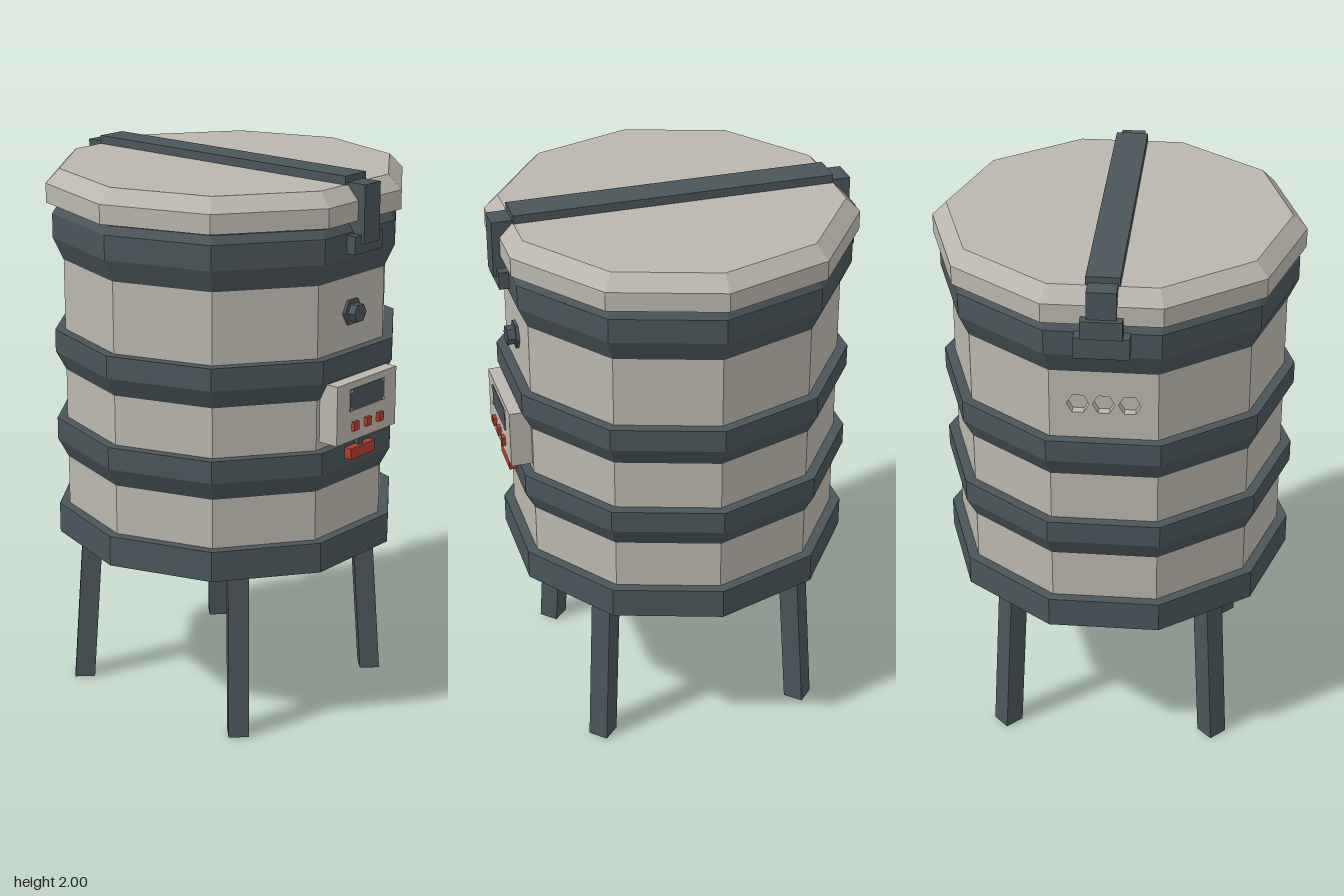
import * as THREE from 'three';

export function createModel() {
  const root = new THREE.Group();
  const mat = (name, color) => {
    const m = new THREE.MeshStandardMaterial({ color, flatShading: true });
    m.name = name;
    return m;
  };
  const shell = mat('warm grey', 0xbab6ac);
  const slate = mat('dark slate', 0x4a555a);
  const red = mat('red', 0xb23c2c);

  const add = (name, geo, material, parent = root) => {
    const mesh = new THREE.Mesh(geo, material);
    mesh.name = name;
    parent.add(mesh);
    return mesh;
  };
  // Box given by its extents on each axis
  const block = (name, material, [x0, x1], [y0, y1], [z0, z1]) => {
    const geo = new THREE.BoxGeometry(x1 - x0, y1 - y0, z1 - z0);
    geo.translate((x0 + x1) / 2, (y0 + y1) / 2, (z0 + z1) / 2);
    return add(name, geo, material);
  };
  // Ten-sided solid of revolution with corners on the x axis
  const decagon = (name, material, profile) => add(name, new THREE.LatheGeometry(
    profile.map(([r, y]) => new THREE.Vector2(r, y)), 10, Math.PI / 2), material);

  const R = 0.593, BAND = 0.63;

  // Drum walls; the top section leaves its back side open for the vent panel
  decagon('lowerWall', shell, [[R, 0.7], [R, 1.39]]);
  add('upperWall', new THREE.LatheGeometry(
    [new THREE.Vector2(R, 1.38), new THREE.Vector2(R, 1.7)],
    9, Math.PI * 1.1, Math.PI * 1.8), shell);

  // Dark bands
  decagon('baseBand', slate, [[0, 0.62], [BAND, 0.62], [BAND, 0.73], [0.58, 0.73]]);
  for (const top of [1.06, 1.39]) {
    decagon('middleBand', slate, [[R, top - 0.15], [BAND, top - 0.08], [BAND, top], [0.58, top]]);
  }
  decagon('rimBand', slate,
    [[R, 1.645], [BAND, 1.725], [BAND, 1.812], [0.61, 1.841], [0, 1.841]]);

  // Lid
  decagon('lid', shell, [[0, 1.852], [0.65, 1.852], [0.65, 1.92], [0.6, 1.97], [0, 1.97]]);

  // Back panel with three hexagonal vents
  const apothem = R * Math.cos(Math.PI / 10), half = R * Math.sin(Math.PI / 10);
  const panel = new THREE.Shape();
  panel.moveTo(-half, 1.38).lineTo(half, 1.38).lineTo(half, 1.7).lineTo(-half, 1.7).closePath();
  for (const x of [-0.087, 0, 0.087]) {
    const hole = new THREE.Path();
    for (let i = 0; i < 6; i++) {
      const a = -i * Math.PI / 3;
      const px = x + 0.038 * Math.cos(a), py = 1.52 + 0.038 * Math.sin(a);
      if (i === 0) hole.moveTo(px, py); else hole.lineTo(px, py);
    }
    hole.closePath();
    panel.holes.push(hole);
  }
  const ventGeo = new THREE.ExtrudeGeometry(panel, { depth: 0.03, bevelEnabled: false });
  ventGeo.translate(0, 0, -apothem);
  add('ventPanel', ventGeo, shell);
  block('ventBacking', shell, [-0.16, 0.16], [1.45, 1.59], [-apothem + 0.03, -apothem + 0.04]);

  // Strap over the lid, with front clasp and rear hinge
  block('lidBar', slate, [-0.057, 0.057], [1.965, 2], [-0.57, 0.572]);
  block('frontStrap', slate, [-0.043, 0.043], [1.775, 1.978], [0.57, 0.645]);
  block('frontClasp', slate, [-0.077, 0.077], [1.742, 1.805], [0.58, 0.634]);
  block('rearStrap', slate, [-0.05, 0.05], [1.87, 1.978], [-0.637, -0.565]);
  block('hingeKnuckle', slate, [-0.07, 0.07], [1.815, 1.88], [-0.653, -0.58]);
  block('hingePlate', slate, [-0.093, 0.093], [1.74, 1.815], [-0.645, -0.58]);

  // Hexagonal knob
  const hex = (name, r, z0, z1) => {
    const geo = new THREE.CylinderGeometry(r, r, z1 - z0, 6);
    geo.rotateY(Math.PI / 6).rotateX(Math.PI / 2).translate(0, 1.52, (z0 + z1) / 2);
    add(name, geo, slate);
  };
  hex('knobFlange', 0.05, 0.55, 0.575);
  hex('knob', 0.034, 0.56, 0.604);

  // Control box with screen, screws and buttons
  block('controlBox', shell, [-0.167, 0.167], [1.087, 1.3], [0.55, 0.64]);
  block('screen', slate, [-0.097, 0.097], [1.195, 1.275], [0.636, 0.642]);
  for (const x of [-0.09, 0.09]) for (const y of [1.202, 1.268]) {
    block('screenScrew', shell, [x - 0.006, x + 0.006], [y - 0.006, y + 0.006], [0.638, 0.645]);
  }
  for (const x of [-0.07, 0, 0.07]) {
    block('button', red, [x - 0.014, x + 0.014], [1.124, 1.156], [0.635, 0.652]);
  }

  // Tap below the control box
  block('tapStem', slate, [-0.012, 0.012], [1.04, 1.09], [0.595, 0.617]);
  block('tapHandle', red, [-0.068, 0.068], [1.01, 1.05], [0.595, 0.627]);

  // Four square legs turned to the corners and splayed outwards
  const side = 0.074, legTop = 0.64;
  for (let i = 0; i < 4; i++) {
    const geo = new THREE.BoxGeometry(side, legTop, side);
    geo.translate(0, legTop / 2, 0);
    const pos = geo.attributes.position;
    for (let v = 0; v < pos.count; v++) {
      pos.setZ(v, pos.getZ(v) + 0.545 - 0.045 * pos.getY(v) / legTop);
    }
    geo.rotateY(Math.PI / 4 + i * Math.PI / 2);
    add('leg', geo, slate);
  }

  return root;
}
